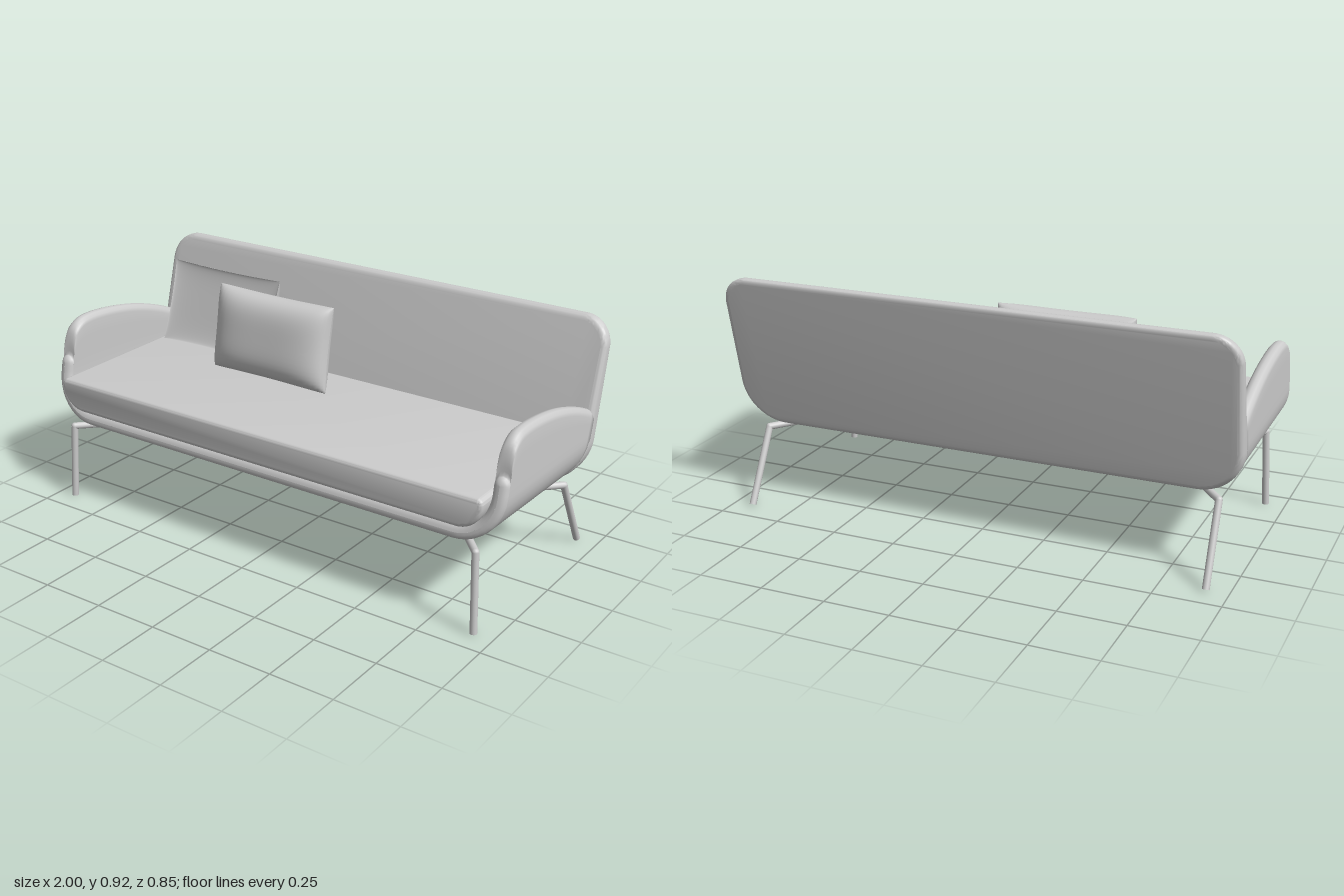
import * as THREE from 'three';
import { mergeVertices, toCreasedNormals } from 'three/addons/utils/BufferGeometryUtils.js';

const lightGrey = new THREE.MeshStandardMaterial({ color: 0xcccccc });
lightGrey.name = 'lightGrey';
const V = (x, y, z) => new THREE.Vector3(x, y, z);
const { lerp } = THREE.MathUtils;

function part(name, geometry, parent) {
  const mesh = new THREE.Mesh(geometry, lightGrey);
  mesh.name = name;
  parent.add(mesh);
  return mesh;
}

// Move every vertex by a rule
function warp(geo, rule) {
  const p = geo.attributes.position, v = V(0, 0, 0);
  for (let i = 0; i < p.count; i++) {
    rule(v.fromBufferAttribute(p, i));
    p.setXYZ(i, v.x, v.y, v.z);
  }
  return geo;
}

// Panel outline with separate top and bottom corner radii
function panelShape(w, y0, y1, rBottom, rTop) {
  const s = new THREE.Shape();
  s.absarc(w - rBottom, y0 + rBottom, rBottom, -Math.PI / 2, 0);
  s.absarc(w - rTop, y1 - rTop, rTop, 0, Math.PI / 2);
  s.absarc(-w + rTop, y1 - rTop, rTop, Math.PI / 2, Math.PI);
  s.absarc(-w + rBottom, y0 + rBottom, rBottom, Math.PI, Math.PI * 1.5);
  return s;
}

// Tilted backrest, thicker at the bottom
function backrestGeometry() {
  const b = 0.02;
  const geo = new THREE.ExtrudeGeometry(panelShape(1 - b, 0.31 + b, 0.915 - b, 0.15, 0.085), {
    depth: 0.04, bevelThickness: 0.03, bevelSize: b, bevelSegments: 5, curveSegments: 10,
  });
  warp(geo, (v) => {
    const t = (v.z + 0.03) / 0.1;
    v.z = lerp(-0.29 - (v.y - 0.31) * 0.205, -0.2 - (v.y - 0.32) * 0.287, t);
  });
  return toCreasedNormals(geo, 0.6);
}

// Seat cushion with undersides curving up to the arms
function cushionGeometry() {
  const b = 0.015;
  const geo = new THREE.ExtrudeGeometry(panelShape(0.94 - b, 0.388 + b, 0.512 - b, 0.085, 0.008), {
    depth: 0.63, bevelThickness: b, bevelSize: b, bevelSegments: 4, curveSegments: 8,
  });
  geo.translate(0, 0, -0.22);
  return toCreasedNormals(geo, 0.6);
}

// One-piece shell: U-shaped cross-sections swept from back to front
function shellGeometry() {
  const t = 0.028, r = 0.15, rings = 36, round = 5;
  const armTop = new THREE.CatmullRomCurve3([
    [-0.3, 0.592], [-0.2, 0.635], [-0.1, 0.67], [0, 0.696], [0.12, 0.715], [0.22, 0.721],
    [0.275, 0.714], [0.315, 0.685], [0.333, 0.64], [0.342, 0.58],
  ].map(([z, y]) => V(0, y, z)));

  function section(v, scale, push) {
    const top = armTop.getPoint(v);
    const f = (top.z + 0.3) / 0.642;
    const zb = lerp(-0.22, 0.392, f), yb = lerp(0.312, 0.33, f), yc = yb + t + r;
    const half = []; // centre line of one side: x, y, normal x, normal y
    for (let i = 0; i < 4; i++) half.push([0.972, lerp(top.y - t, yc, i / 4), 1, 0]);
    for (let i = 0; i <= 10; i++) {
      const a = (i / 10) * Math.PI / 2, c = Math.cos(a), s = Math.sin(a);
      half.push([0.972 - r + r * c, yc - r * s, c, -s]);
    }
    const line = [...half, ...half.slice().reverse().map(([x, y, nx, ny]) => [-x, y, -nx, ny])];
    const h = t * scale, pts = [];
    const rim = (x, y) => {
      for (let i = 1; i < 6; i++) {
        const a = (i / 6) * Math.PI;
        pts.push([x - h * Math.cos(a), y + h * Math.sin(a)]);
      }
    };
    line.forEach(([x, y, nx, ny]) => pts.push([x + nx * h, y + ny * h]));
    rim(-0.972, top.y - t);
    line.slice().reverse().forEach(([x, y, nx, ny]) => pts.push([x - nx * h, y - ny * h]));
    rim(0.972, top.y - t);
    return pts.map(([x, y]) => [x, y, lerp(zb, top.z, (y - yb) / (top.y - yb)) + push]);
  }

  const loops = [section(0, 0.001, 0)];
  for (let i = 0; i <= rings; i++) loops.push(section(i / rings, 1, 0));
  for (let i = 1; i <= round; i++) {
    const a = (i / round) * Math.PI / 2;
    loops.push(section(1, Math.max(Math.cos(a), 0.001), 0.022 * Math.sin(a)));
  }
  const n = loops[0].length, index = [];
  for (let i = 0; i < loops.length - 1; i++) {
    for (let j = 0; j < n; j++) {
      const k = (j + 1) % n, a = i * n, b = a + n;
      index.push(a + j, b + j, a + k, b + j, b + k, a + k);
    }
  }
  const geo = new THREE.BufferGeometry();
  geo.setAttribute('position', new THREE.Float32BufferAttribute(loops.flat(2), 3));
  geo.setIndex(index);
  geo.computeVertexNormals();
  return geo;
}

// Pillow from two bulged sheets sharing a pinched outline
function pillow(name, w, h, front, back, parent) {
  const group = new THREE.Group();
  group.name = name;
  parent.add(group);
  [[front, 1], [back, -1]].forEach(([bulge, side]) => {
    let geo = new THREE.PlaneGeometry(2, 2, 24, 24);
    if (side < 0) geo.rotateY(Math.PI);
    geo.deleteAttribute('uv');
    geo.deleteAttribute('normal');
    warp(geo, (v) => {
      const u = Math.sin(v.x * Math.PI / 2), s = Math.sin(v.y * Math.PI / 2);
      const full = Math.sqrt(Math.max(0, (1 - u ** 4) * (1 - s ** 4)));
      v.set(u * w * (1 - 0.025 * (1 - s * s)), s * h * (1 - 0.035 * (1 - u * u)), side * bulge * full);
    });
    geo = mergeVertices(geo);
    geo.computeVertexNormals();
    part(side > 0 ? 'pillowFront' : 'pillowBack', geo, group);
  });
  return group;
}

// Round bar between two points
function bar(name, a, b, radius, parent) {
  const d = b.clone().sub(a);
  const mesh = part(name, new THREE.CylinderGeometry(radius, radius, d.length(), 14), parent);
  mesh.position.copy(a).add(b).multiplyScalar(0.5);
  mesh.quaternion.setFromUnitVectors(V(0, 1, 0), d.normalize());
}

export function createModel() {
  const model = new THREE.Group();
  model.name = 'sofa';
  part('backrest', backrestGeometry(), model);
  part('armShell', shellGeometry(), model);
  part('seatCushion', cushionGeometry(), model);

  // Loose pillows
  const p1 = pillow('frontPillow', 0.27, 0.168, 0.077, 0.077, model);
  p1.position.set(-0.265, 0.678, -0.062);
  p1.rotation.x = -0.17;
  const p2 = pillow('rearPillow', 0.268, 0.168, -0.012, 0.1, model);
  p2.position.set(-0.635, 0.675, -0.202);
  p2.rotation.x = -0.3;

  // Tubular frame: legs run diagonally in to a rectangle under the seat
  const frame = new THREE.Group();
  frame.name = 'frame';
  model.add(frame);
  const R = 0.0135;
  for (const s of [1, -1]) {
    const path = [
      V(s * 0.925, 0, 0.411), V(s * 0.912, 0.305, 0.4), V(s * 0.785, 0.301, 0.26),
      V(s * 0.785, 0.289, -0.125), V(s * 0.912, 0.283, -0.27), V(s * 0.918, 0.003, -0.41),
    ];
    const names = ['frontLeg', 'frontStrut', 'sideRail', 'rearStrut', 'rearLeg'];
    names.forEach((name, i) => bar(name, path[i], path[i + 1], R, frame));
    path.slice(1, 5).forEach((p) =>
      part('joint', new THREE.SphereGeometry(R, 14, 10), frame).position.copy(p));
    // Brackets up to the shell
    for (const p of [path[2], path[3]]) bar('bracket', p, V(p.x, 0.34, p.z), 0.011, frame);
  }
  bar('frontRail', V(-0.785, 0.301, 0.26), V(0.785, 0.301, 0.26), R, frame);
  bar('rearRail', V(-0.785, 0.289, -0.125), V(0.785, 0.289, -0.125), R, frame);
  return model;
}
